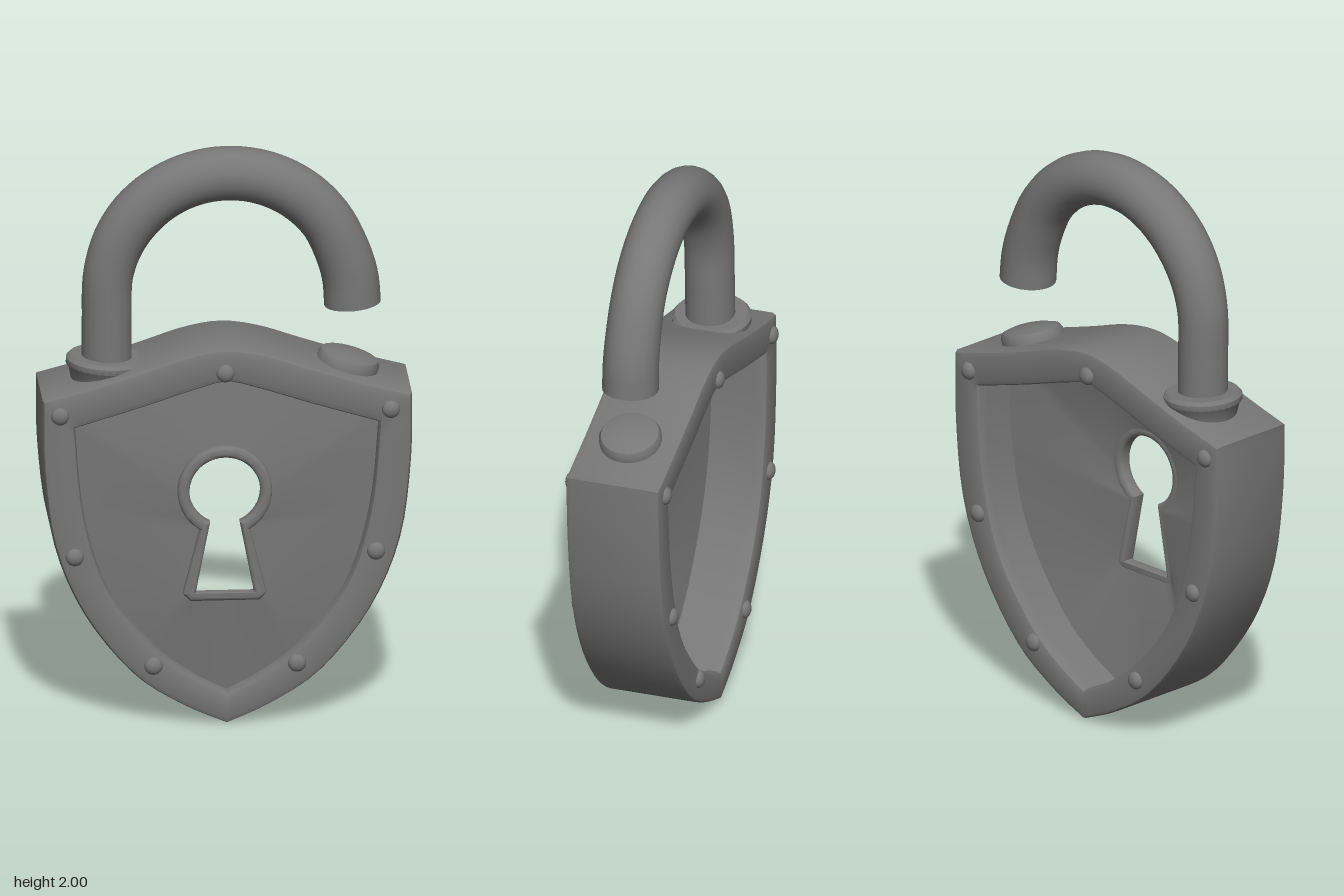
import * as THREE from 'three';
import { toCreasedNormals } from 'three/addons/utils/BufferGeometryUtils.js';

const material = new THREE.MeshStandardMaterial({ color: 0x777777 });
const V2 = (x, y) => new THREE.Vector2(x, y);

// Symmetric shield outline: side runs tip to shoulder, top runs shoulder to peak
function shieldPoints(side, top) {
  const right = new THREE.SplineCurve(side.map(p => V2(...p))).getPoints(24);
  const crest = top.slice().concat(top.slice(0, -1).reverse().map(([x, y]) => [-x, y]));
  const over = new THREE.SplineCurve(crest.map(p => V2(...p))).getPoints(28);
  const left = right.slice(1, -1).reverse().map(p => V2(-p.x, p.y));
  return [...right, ...over.slice(1), ...left];
}

// Keyhole outline from the bottom middle: a round head on a flared slot
function keyholePoints(r, neck, foot, bottom, corner) {
  const cx = -0.008, cy = 0.83, a = Math.asin(neck / r);
  const pts = [V2(cx, bottom), V2(cx + foot - corner, bottom), V2(cx + foot, bottom + corner)];
  for (let i = 0; i <= 36; i++) {
    const t = -Math.PI / 2 + a + (i / 36) * (2 * Math.PI - 2 * a);
    pts.push(V2(cx + r * Math.cos(t), cy + r * Math.sin(t)));
  }
  pts.push(V2(cx - foot, bottom + corner), V2(cx - foot + corner, bottom));
  return pts;
}

const blend = (a, b, t) => a.map((p, i) => p.clone().lerp(b[i], t));

// Skin over a row of closed outlines, each [points, z]
function loft(rings) {
  const n = rings[0][0].length, positions = [], index = [];
  for (const [pts, z] of rings) for (const p of pts) positions.push(p.x, p.y, z);
  for (let s = 0; s < rings.length - 1; s++) {
    for (let i = 0; i < n; i++) {
      const p = s * n + i, q = s * n + (i + 1) % n;
      index.push(p, q, q + n, p, q + n, p + n);
    }
  }
  const geo = new THREE.BufferGeometry();
  geo.setAttribute('position', new THREE.Float32BufferAttribute(positions, 3));
  geo.setIndex(index);
  return toCreasedNormals(geo, 0.6);
}

export function createModel() {
  const model = new THREE.Group();
  model.name = 'padlock';
  const add = (name, geo, x = 0, y = 0, z = 0) => {
    const mesh = new THREE.Mesh(geo, material);
    mesh.name = name;
    mesh.position.set(x, y, z);
    model.add(mesh);
    return mesh;
  };
  const lathe = profile => toCreasedNormals(
    new THREE.LatheGeometry(profile.map(p => V2(...p)), 32), 0.7);

  // Shield frame: rounded rims front and back around a wider hollow
  const outer = shieldPoints(
    [[0, 0.005], [0.15, 0.073], [0.32, 0.19], [0.485, 0.405], [0.585, 0.65], [0.622, 0.93], [0.625, 1.165]],
    [[0.625, 1.165], [0.45, 1.212], [0.28, 1.265], [0.13, 1.315], [0, 1.335]]);
  const inner = shieldPoints(
    [[0, 0.11], [0.12, 0.175], [0.25, 0.28], [0.405, 0.49], [0.485, 0.757], [0.515, 1.065]],
    [[0.515, 1.065], [0.3, 1.13], [0.1, 1.195], [0, 1.218]]);
  const section = [[0, -0.152], [0, 0.148], [0.05, 0.161], [0.17, 0.166], [0.83, 0.166], [0.95, 0.161],
    [1, 0.148], [1, 0.09], [0.4, 0.09], [0.4, -0.11], [1, -0.125], [1, -0.152], [0.95, -0.165],
    [0.83, -0.17], [0.17, -0.17], [0.05, -0.165], [0, -0.152]];
  add('shieldFrame', loft(section.map(([t, z]) => [blend(outer, inner, t), z])));

  // Face plate swelling forward to the keyhole, edges buried in frame and border
  const spaced = pts => new THREE.Shape(pts).closePath().getSpacedPoints(120).slice(0, 120);
  const plateEdge = spaced(blend(outer, inner, 0.35));
  const plateHole = spaced(keyholePoints(0.14, 0.066, 0.12, 0.455, 0.015));
  const sheet = (zEdge, zHole) => [0, 0.25, 0.5, 0.75, 1].map(t =>
    [blend(plateEdge, plateHole, t), THREE.MathUtils.lerp(zEdge, zHole, t)]);
  add('facePlateFront', loft(sheet(0.098, 0.142)));
  add('facePlateBack', loft(sheet(0.05, 0.118).reverse()));

  // Raised border around the keyhole
  const border = new THREE.Shape(keyholePoints(0.16, 0.085, 0.142, 0.442, 0.025));
  border.holes.push(new THREE.Path(keyholePoints(0.12, 0.05, 0.098, 0.47, 0.004)));
  const borderGeo = new THREE.ExtrudeGeometry(border, {
    depth: 0.024, bevelThickness: 0.014, bevelSize: 0.014, bevelOffset: -0.014, bevelSegments: 3,
  });
  add('keyholeBorder', toCreasedNormals(borderGeo, 0.6), 0, 0, 0.13);

  // Low domed rivets on both rims
  const rivet = new THREE.SphereGeometry(0.031, 16, 10);
  const spots = [[0, 1.253]];
  for (const [x, y] of [[0.56, 1.113], [0.51, 0.61], [0.243, 0.217]]) spots.push([x, y], [-x, y]);
  for (const [x, y] of spots) {
    add('frontRivet', rivet, x - 0.007, y, 0.166).scale.z = 0.65;
    add('backRivet', rivet, x - 0.007, y, -0.17).scale.z = 0.65;
  }

  // Shackle: long leg, semicircular bow and short free end
  const path = [[-0.397, 1.15], [-0.397, 1.25], [-0.397, 1.4]];
  for (let i = 0; i <= 8; i++) {
    const t = Math.PI * (0.95 - 0.86 * i / 8);
    path.push([0.012 + 0.408 * Math.cos(t), 1.5 + 0.408 * Math.sin(t)]);
  }
  path.push([0.427, 1.53], [0.435, 1.438]);
  const curve = new THREE.CatmullRomCurve3(path.map(([x, y]) => new THREE.Vector3(x, y, 0)));
  const rings = 64, sides = 24;
  const tube = new THREE.TubeGeometry(curve, rings, 0.096, sides, false);
  // The long leg is slimmer than the bow
  const pos = tube.attributes.position, v = new THREE.Vector3();
  for (let i = 0; i <= rings; i++) {
    const centre = curve.getPointAt(i / rings);
    const k = 0.88 + 0.08 * THREE.MathUtils.smoothstep(i / rings, 0.2, 0.4)
      + 0.04 * THREE.MathUtils.smoothstep(i / rings, 0.8, 1);
    for (let j = 0; j <= sides; j++) {
      const n = i * (sides + 1) + j;
      v.fromBufferAttribute(pos, n).sub(centre).multiplyScalar(k).add(centre);
      pos.setXYZ(n, v.x, v.y, v.z);
    }
  }
  add('shackle', tube, 0, 0, -0.008);
  const end = add('shackleEnd', new THREE.CircleGeometry(0.096, sides), 0.435, 1.438, -0.008);
  end.quaternion.setFromUnitVectors(new THREE.Vector3(0, 0, 1), curve.getTangentAt(1));

  // Collar around the long leg, its foot reaching into the hollow
  add('collar', lathe([[0, -0.1], [0.095, -0.1], [0.105, -0.09], [0.112, -0.04], [0.125, 0.01],
    [0.135, 0.022], [0.135, 0.04], [0.124, 0.052], [0, 0.052]]), -0.402, 1.217, -0.012).rotation.z = -0.06;

  // Low domed socket cap under the free end
  add('socketCap', lathe([[0, -0.03], [0.105, -0.03], [0.107, 0.006], [0.098, 0.022],
    [0.065, 0.032], [0, 0.036]]), 0.42, 1.235, 0).rotation.z = -0.27;

  // Slight turn and lean of the whole lock
  model.rotation.set(0.012, -0.018, 0);
  model.position.z = -0.013;
  const root = new THREE.Group();
  root.add(model);
  return root;
}
